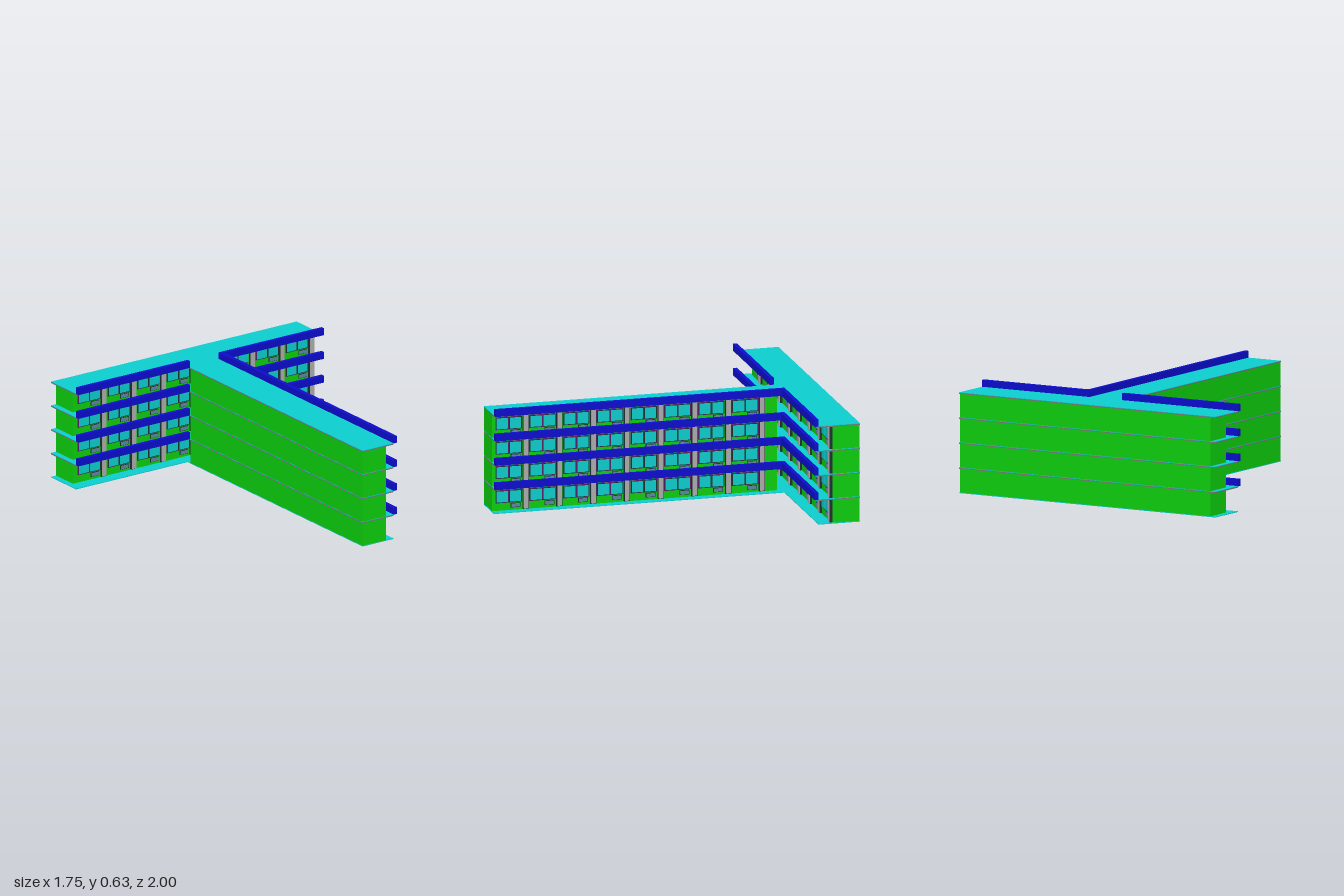
import * as THREE from 'three';

const STOREY = 0.1467, FLOORS = 4;
const mat = (color) => new THREE.MeshStandardMaterial({ color });
const GREEN = mat(0x0ccc0c), CYAN = mat(0x0ccccc), BLUE = mat(0x0c0ccc), GREY = mat(0xaaaaaa),
  SLAB = mat(0x777777), DARK = mat(0x1c3030), PURPLE = mat(0x8c0c9c), VENT = mat(0x5c86a0);

// Box given by its minimum and maximum corners
function block(parent, name, material, x0, x1, y0, y1, z0, z1) {
  const mesh = new THREE.Mesh(new THREE.BoxGeometry(x1 - x0, y1 - y0, z1 - z0), material);
  mesh.position.set((x0 + x1) / 2, (y0 + y1) / 2, (z0 + z1) / 2);
  mesh.name = name;
  parent.add(mesh);
  return mesh;
}

// T-shaped plate whose top lies at the given height
function plate(parent, name, material, top, thickness) {
  const outline = [[-0.875, -1], [0.875, -1], [0.875, -0.75], [0.14, -0.75],
    [0.14, 1], [-0.08, 1], [-0.08, -0.75], [-0.875, -0.75]];
  const shape = new THREE.Shape(outline.map(([x, z]) => new THREE.Vector2(x, z)));
  const geometry = new THREE.ExtrudeGeometry(shape, { depth: thickness, bevelEnabled: false });
  geometry.rotateX(Math.PI / 2);
  const mesh = new THREE.Mesh(geometry, material);
  mesh.position.y = top;
  mesh.name = name;
  parent.add(mesh);
}

// One bay: a pair of windows, a framed door and a low vent, facing +z
function bay() {
  const g = new THREE.Group();
  g.name = 'bay';
  block(g, 'windowSurround', PURPLE, -0.002, 0.157, 0.05, 0.127, -0.003, 0.004);
  for (const u of [0, 0.079]) {
    block(g, 'windowFrame', DARK, u, u + 0.076, 0.052, 0.125, 0, 0.007);
    block(g, 'windowGlass', CYAN, u + 0.004, u + 0.072, 0.056, 0.121, 0, 0.009);
  }
  block(g, 'doorFrame', DARK, 0.161, 0.196, 0.008, 0.141, -0.003, 0.012);
  block(g, 'door', GREY, 0.165, 0.192, 0.012, 0.137, 0, 0.018);
  block(g, 'ventFrame', DARK, 0.09, 0.148, 0.02, 0.046, -0.003, 0.005);
  block(g, 'vent', VENT, 0.093, 0.145, 0.023, 0.043, 0, 0.008);
  return g;
}

// Grid of bays over every storey, running along local +x
function facade(name, pitch) {
  const g = new THREE.Group();
  g.name = name;
  for (let floor = 0; floor < FLOORS; floor++) {
    for (let i = 0; i < 8; i++) {
      const b = bay();
      b.position.set(i * pitch, floor * STOREY, 0);
      g.add(b);
    }
  }
  return g;
}

export function createModel() {
  const model = new THREE.Group();
  model.name = 'building';

  // Ground plate
  plate(model, 'groundPlate', CYAN, 0.004, 0.004);

  for (let k = 0; k < FLOORS; k++) {
    const y0 = k * STOREY + 0.004, y = (k + 1) * STOREY;
    // Room blocks of this storey, leaving an open gallery between them
    block(model, 'wingWalls', GREEN, -0.84, 0.87, y0, y - 0.004, -0.998, -0.83);
    block(model, 'stemWalls', GREEN, -0.079, 0.09, y0, y - 0.004, -0.72, 0.998);

    // Ceiling slab with the floor or roof surface above
    plate(model, 'slab', SLAB, y + 0.002, 0.006);
    plate(model, k === FLOORS - 1 ? 'roof' : 'floor', CYAN, y + 0.005, 0.003);

    // Gallery parapets along the slab edges
    const p0 = y + 0.003, p1 = y + 0.045;
    block(model, 'rightWingParapet', BLUE, -0.875, -0.08, p0, p1, -0.75, -0.725);
    block(model, 'leftWingParapet', BLUE, 0.165, 0.875, p0, p1, -0.75, -0.725);
    block(model, 'stemParapet', BLUE, 0.14, 0.165, p0, p1, -0.75, 1);
  }

  // Windows and doors along both galleries
  const wing = facade('wingFacade', 0.2115);
  wing.position.set(-0.805, 0, -0.83);
  const stem = facade('stemFacade', 0.2035);
  stem.rotation.y = Math.PI / 2;
  stem.position.set(0.09, 0, 0.976);
  model.add(wing, stem);

  return model;
}
